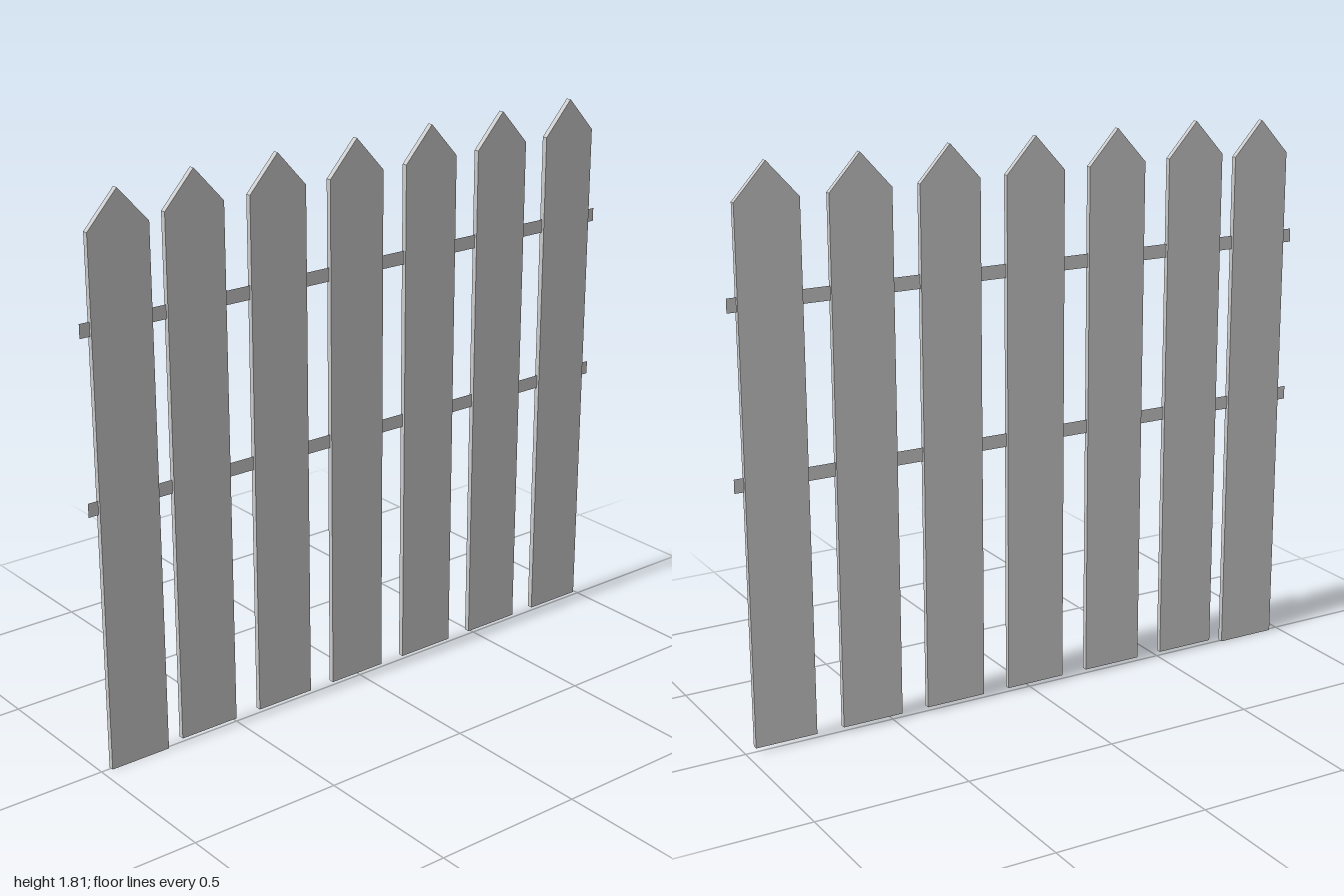
import * as THREE from 'three';

export function createModel() {
  const fence = new THREE.Group();
  fence.name = 'picketFence';
  const wood = new THREE.MeshStandardMaterial({ color: 0xcccccc, flatShading: true });
  const thinWood = new THREE.MeshStandardMaterial({ color: 0xcccccc, flatShading: true, side: THREE.DoubleSide });

  // Pointed board shared by all pickets
  const half = 0.102, shoulder = 1.68, tip = 1.792, thickness = 0.018;
  const outline = new THREE.Shape([
    new THREE.Vector2(-half, 0),
    new THREE.Vector2(half, 0),
    new THREE.Vector2(half, shoulder),
    new THREE.Vector2(0, tip),
    new THREE.Vector2(-half, shoulder),
  ]);
  const board = new THREE.ExtrudeGeometry(outline, { depth: thickness, bevelEnabled: false });
  board.translate(0, 0, -thickness / 2);

  // Six evenly spaced pickets, and an end one set closer and lower
  for (let i = 0; i < 7; i++) {
    const picket = new THREE.Mesh(board, wood);
    picket.name = `picket${i + 1}`;
    if (i === 0) picket.position.set(-0.864, 0, 0);
    else picket.position.set(-0.608 + (i - 1) * 0.295, 0.016, 0);
    fence.add(picket);
  }

  // Flat rails running through the middle of the boards
  for (const [name, y] of [['lowerRail', 0.858], ['upperRail', 1.4]]) {
    const rail = new THREE.Mesh(new THREE.PlaneGeometry(2, 0.044), thinWood);
    rail.name = name;
    rail.position.y = y;
    fence.add(rail);
  }
  return fence;
}
